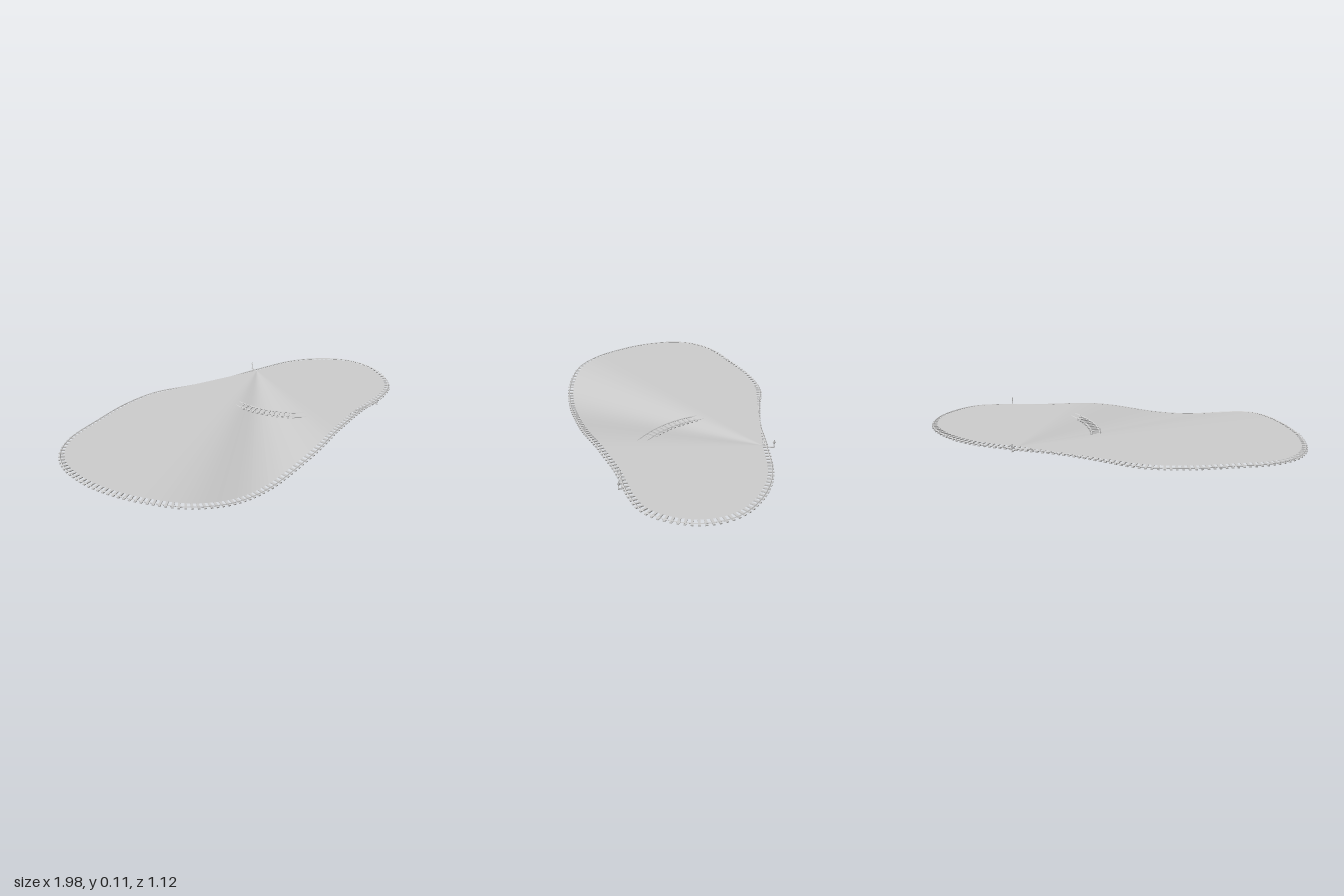
import * as THREE from 'three';
import { mergeGeometries } from 'three/addons/utils/BufferGeometryUtils.js';

const LEVEL = 0.076; // height of the rail tops on the flat
const grey = new THREE.MeshStandardMaterial({ color: 0xcccccc, flatShading: true, side: THREE.DoubleSide });

// main loop, starting at the back switch and running towards -x
const LOOP = [
  [0.34, -0.5], [0.1, -0.485], [-0.1, -0.5], [-0.3, -0.52], [-0.49, -0.473], [-0.69, -0.372], [-0.86, -0.27],
  [-0.94, -0.17], [-0.965, -0.05], [-0.925, 0.12], [-0.845, 0.265], [-0.73, 0.4], [-0.59, 0.5], [-0.41, 0.53],
  [-0.2, 0.5], [-0.01, 0.443], [0.19, 0.373], [0.39, 0.272], [0.59, 0.175], [0.78, 0.105], [0.88, 0.045],
  [0.94, -0.06], [0.957, -0.2], [0.905, -0.335], [0.785, -0.435], [0.6, -0.5],
];
// branch line joining the two switches
const BRANCH = [
  [0.34, -0.5], [0.17, -0.44], [0.07, -0.34], [0.045, -0.23], [0.09, -0.11],
  [0.2, 0.02], [0.36, 0.12], [0.53, 0.165], [0.7, 0.138],
];

// the front of the loop dips into a hollow
function height(x, z) {
  if (z < 0.2) return LEVEL;
  const t = x < -0.2 ? (x + 0.2) / 0.55 : (x + 0.2) / 0.58;
  return Math.abs(t) > 1 ? LEVEL : LEVEL - 0.064 * (0.5 + 0.5 * Math.cos(Math.PI * t));
}

// evenly spaced points with sideways directions along a plan curve
function stations(plan, closed, pitch) {
  const curve = new THREE.CatmullRomCurve3(plan.map(([x, z]) => new THREE.Vector3(x, 0, z)), closed, 'centripetal');
  curve.arcLengthDivisions = 600;
  const n = Math.round(curve.getLength() / pitch);
  const list = [];
  for (let i = 0; i < (closed ? n : n + 1); i++) {
    const p = curve.getPointAt(i / n), t = curve.getTangentAt(i / n);
    p.y = height(p.x, p.z);
    list.push({ p, side: new THREE.Vector3(-t.z, 0, t.x), yaw: Math.atan2(-t.z, t.x) });
  }
  return list;
}

// sleepers and two rails
function track(name, plan, closed) {
  const group = new THREE.Group();
  group.name = name;
  const list = stations(plan, closed, 0.028);
  const sleepers = list.map(({ p, yaw }) => new THREE.BoxGeometry(0.011, 0.006, 0.06)
    .rotateY(yaw).translate(p.x, p.y - 0.007, p.z));
  const ties = new THREE.Mesh(mergeGeometries(sleepers), grey);
  ties.name = 'sleepers';
  group.add(ties);
  for (const s of [-1, 1]) {
    const path = new THREE.CatmullRomCurve3(
      list.map(({ p, side }) => p.clone().addScaledVector(side, s * 0.021).setY(p.y - 0.002)), closed);
    const rail = new THREE.Mesh(new THREE.TubeGeometry(path, list.length * 2, 0.003, 4, closed), grey);
    rail.name = 'rail';
    group.add(rail);
  }
  return group;
}

// thin ground sheet fanned from the back switch to the whole loop
function groundSheet() {
  const pts = stations(LOOP, true, 0.028).map(({ p }) => p);
  const pos = [], lift = 0.003;
  for (let i = 1; i < pts.length - 1; i++) {
    for (const p of [pts[0], pts[i], pts[i + 1]]) pos.push(p.x, p.y + lift, p.z);
  }
  const geo = new THREE.BufferGeometry();
  geo.setAttribute('position', new THREE.Float32BufferAttribute(pos, 3));
  geo.computeVertexNormals();
  const mesh = new THREE.Mesh(geo, grey);
  mesh.name = 'groundSheet';
  return mesh;
}

// switch marker: base bar, thin post and diamond plate
function switchStand(x, z, towardTrack) {
  const group = new THREE.Group();
  group.name = 'switchStand';
  const add = (name, geo, px, py, pz) => {
    const m = new THREE.Mesh(geo, grey);
    m.name = name;
    m.position.set(px, py, pz);
    group.add(m);
  };
  add('base', new THREE.BoxGeometry(0.005, 0.005, 0.035), 0, LEVEL - 0.006, towardTrack * 0.014);
  add('post', new THREE.CylinderGeometry(0.002, 0.002, 0.04, 6), 0, LEVEL + 0.014, 0);
  const plate = new THREE.OctahedronGeometry(1).scale(0.003, 0.013, 0.008);
  add('diamond', plate, 0, 0.097, 0);
  group.position.set(x, 0, z);
  return group;
}

export function createModel() {
  const model = new THREE.Group();
  model.name = 'railwayLoop';
  model.add(groundSheet(), track('mainTrack', LOOP, true), track('branchTrack', BRANCH, false));
  const back = switchStand(0.34, -0.556, 1);
  const front = switchStand(0.727, 0.175, -1);
  front.rotation.y = 0.3;
  model.add(back, front);
  return model;
}
